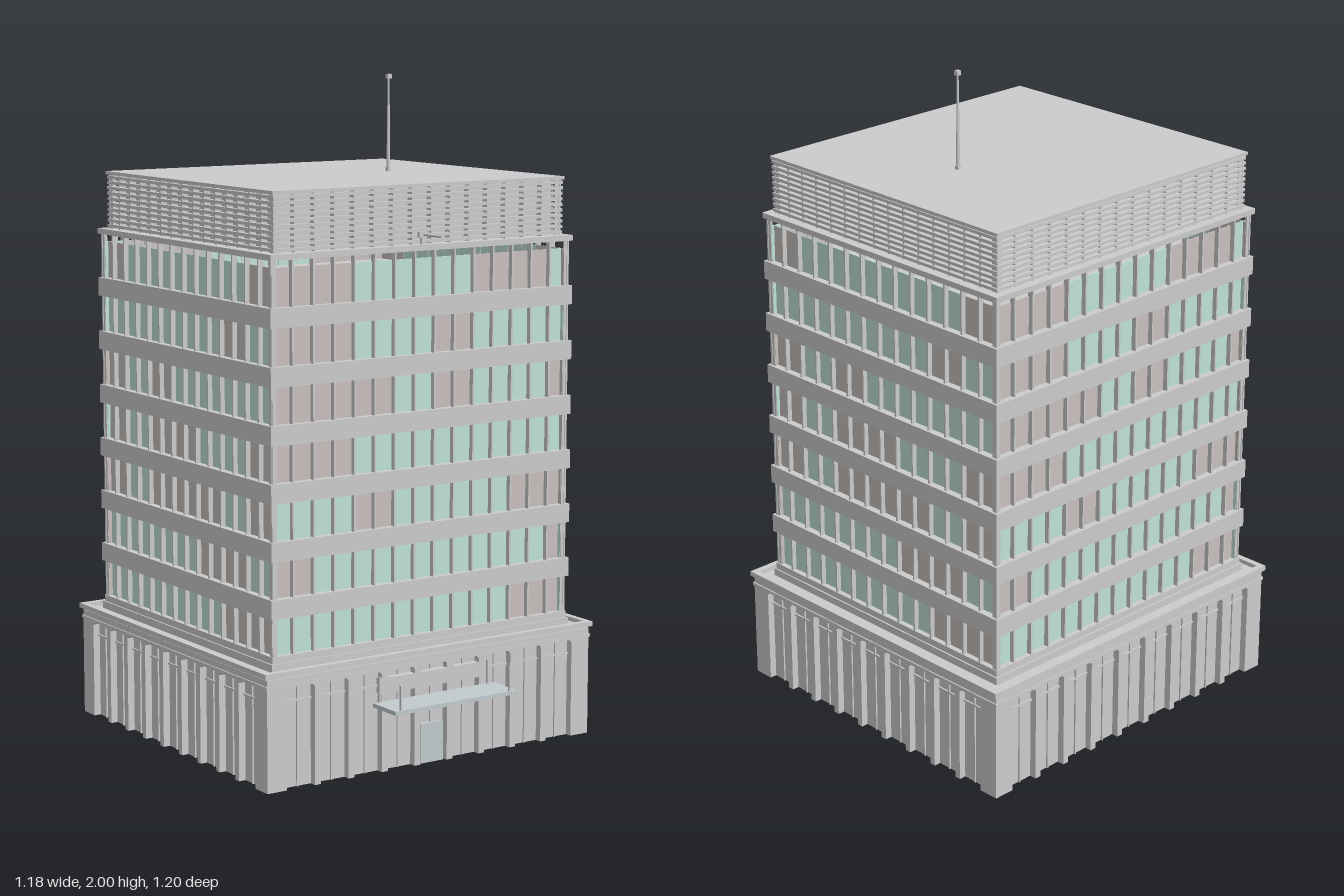
import * as THREE from 'three';
import { mergeGeometries } from 'three/addons/utils/BufferGeometryUtils.js';

const mat = (color) => new THREE.MeshStandardMaterial({ color });
const grey = mat(0xcccccc), teal = mat(0xc0e2d8), blind = mat(0xc8c0be), canopyMat = mat(0xc2cacf);

// Box geometry from centre x/z and bottom/top y
function box(x, y0, y1, z, w, d) {
  return new THREE.BoxGeometry(w, y1 - y0, d).translate(x, (y0 + y1) / 2, z);
}
function add(parent, name, geos, material = grey) {
  const list = [].concat(geos).map((g) => (g.index ? g.toNonIndexed() : g));
  const mesh = new THREE.Mesh(list.length > 1 ? mergeGeometries(list) : list[0], material);
  mesh.name = name;
  parent.add(mesh);
  return mesh;
}
// Rectangular ring from four boxes: outer half sizes hx, hz and thickness t
function ring(hx, hz, t, y0, y1) {
  const out = [];
  for (const s of [-1, 1]) {
    out.push(box(0, y0, y1, s * (hz - t / 2), 2 * hx, t));
    out.push(box(s * (hx - t / 2), y0, y1, 0, t, 2 * (hz - t)));
  }
  return out;
}
// Calls fn for each of the four sides with a group whose +z points outward
function eachSide(parent, name, hx, hz, fn) {
  for (let i = 0; i < 4; i++) {
    const side = new THREE.Group();
    side.name = name + ['Front', 'Left', 'Back', 'Right'][i];
    side.rotation.y = (i * Math.PI) / 2;
    parent.add(side);
    fn(side, i % 2 ? hz : hx, i % 2 ? hx : hz, i);
  }
}

// Glass (1) or drawn blind (0) in each window, bottom storey first
const WIDE = ['111111111111000', '001111111111110', '111100111111000', '000011111111111',
  '000000110011110', '000011110011111', '000011111100001'];
const NARROW = ['11111111110000', '11111111000011', '00110000001100', '00110000111100',
  '00110011111111', '11111111110011', '00111111111100'];
const STOREY = 0.1665, BASE = 0.38;

function addPodium(b) {
  const bays = 9, top = 0.3, c = 0.008, depth = 0.03;
  eachSide(b, 'podium', 0.58, 0.54, (side, half, dist, index) => {
    const span = 2 * (half - 0.055), pitch = span / bays, w = pitch * 0.82;
    // Wall with bays open to the ground and clipped top corners
    const shape = new THREE.Shape().moveTo(-half, 0);
    const outer = [], inner = [], bars = [];
    for (let i = 0; i < bays; i++) {
      const x = -span / 2 + (i + 0.5) * pitch, l = x - w / 2, r = x + w / 2;
      shape.lineTo(l, 0).lineTo(l, top - c).lineTo(l + c, top);
      shape.lineTo(r - c, top).lineTo(r, top - c).lineTo(r, 0);
      outer.push(box(x, 0, top, dist - 0.024, w, 0.004));
      inner.push(box(x, 0, top, dist - 0.031, w, 0.004));
      bars.push(box(x, 0, top, dist - 0.02, 0.004, 0.006));
      bars.push(box(x, 0.253, 0.259, dist - 0.02, w, 0.006));
    }
    shape.lineTo(half, 0).lineTo(half, 0.33).lineTo(-half, 0.33).closePath();
    const wall = new THREE.ExtrudeGeometry(shape, { depth, bevelEnabled: false });
    add(side, 'podiumWall', wall.translate(0, 0, dist - depth));
    add(side, 'podiumPanels', outer);
    add(side, 'podiumInnerGlass', inner, teal);
    add(side, 'podiumGlazingBars', bars);
    if (index === 0) {
      add(side, 'entranceFascia', box(0, 0.235, 0.28, dist - 0.011, 0.38, 0.022));
      add(side, 'entranceDoor', box(0, 0, 0.12, dist - 0.014, 0.08, 0.012), canopyMat);
    }
  });
  add(b, 'podiumRoof', box(0, 0.325, 0.337, 0, 1.15, 1.07));
  add(b, 'podiumCornice', [...ring(0.584, 0.543, 0.012, 0.302, 0.312),
    ...ring(0.589, 0.547, 0.02, 0.335, 0.35)]);
}

function addTower(b) {
  const hx = 0.535, hz = 0.495;
  // Spandrel bands between storeys
  add(b, 'towerBase', [box(0, 0.33, 0.36, 0, 2 * hx, 2 * hz), box(0, 0.36, BASE, 0, 1.06, 0.98)]);
  for (let i = 1; i < 7; i++) {
    const y = BASE + i * STOREY - 0.057;
    add(b, 'spandrelBand', box(0, y, y + 0.057, 0, 2 * hx, 2 * hz));
  }
  add(b, 'towerCap', box(0, 1.513, 1.53, 0, 2 * hx, 2 * hz));

  // Window panes and upright mullions
  eachSide(b, 'windows', hx, hz, (side, half, dist, index) => {
    const rows = index % 2 ? NARROW : WIDE, n = rows[0].length;
    const span = 2 * (half - 0.009), pitch = span / n;
    const glass = [], blinds = [], fins = [];
    rows.forEach((row, r) => {
      const y = BASE + r * STOREY;
      for (let i = 0; i < n; i++) {
        const x = -span / 2 + (i + 0.5) * pitch;
        (row[i] === '1' ? glass : blinds).push(
          box(x, y, y + 0.111, dist - 0.024, pitch - 0.004, 0.004));
      }
    });
    for (let i = 0; i <= n; i++) {
      const x = THREE.MathUtils.clamp(-span / 2 + i * pitch, -half + 0.012, half - 0.012);
      fins.push(box(x, BASE, 1.515, dist - 0.016, 0.006, 0.018));
    }
    add(side, 'windowGlass', glass, teal);
    add(side, 'windowBlinds', blinds, blind);
    add(side, 'mullions', fins);
  });
}

function addPlantRoom(b) {
  const hx = 0.512, hz = 0.473, y0 = 1.53, y1 = 1.695, slats = 10;
  // Louvred screen round the roof plant
  add(b, 'plantRoomCore', box(0, y0, y1, 0, 2 * hx - 0.05, 2 * hz - 0.05));
  const louvres = [];
  for (let i = 0; i < slats; i++) {
    const y = y0 + 0.004 + (i * (y1 - y0)) / slats;
    louvres.push(...ring(hx, hz, 0.014, y, y + 0.009));
  }
  add(b, 'louvreSlats', louvres);
  eachSide(b, 'louvrePosts', hx, hz, (side, half, dist) => {
    const posts = [], n = 15;
    for (let i = 0; i <= n; i++) {
      const x = (half - 0.008) * ((2 * i) / n - 1);
      posts.push(box(x, y0, y1, dist - 0.014, 0.006, 0.022));
    }
    add(side, 'screenPosts', posts);
  });
  add(b, 'roofSlab', box(0, y1, 1.705, 0, 2 * hx + 0.006, 2 * hz + 0.006));
}

export function createModel() {
  const model = new THREE.Group();
  model.name = 'officeTower';
  const building = new THREE.Group();
  building.name = 'building';
  building.position.z = -0.055;
  model.add(building);
  addPodium(building);
  addTower(building);
  addPlantRoom(building);

  // Entrance canopy with edge trim and hangers
  add(model, 'entranceCanopy', box(0, 0.2, 0.212, 0.543, 0.436, 0.114), canopyMat);
  for (const s of [-1, 1]) {
    add(model, 'canopyHanger', box(s * 0.195, 0.21, 0.285, 0.595, 0.006, 0.006));
    add(model, 'canopyWallBracket', box(s * 0.195, 0.21, 0.285, 0.487, 0.006, 0.008));
  }

  // Roof mast
  const mast = new THREE.CylinderGeometry(0.003, 0.006, 0.29, 8).translate(0.207, 1.845, -0.055);
  add(model, 'roofMast', [mast, box(0.207, 1.7, 1.716, -0.055, 0.012, 0.012),
    box(0.207, 1.986, 2, -0.055, 0.015, 0.013)]);

  // Flagpole standing out from the louvred screen
  const pole = new THREE.CylinderGeometry(0.004, 0.004, 0.094, 8).rotateX(Math.PI / 2);
  add(model, 'flagpole', [pole.translate(0, 1.558, 0.465),
    box(0, 1.55, 1.566, 0.422, 0.036, 0.008), box(0, 1.53, 1.556, 0.422, 0.02, 0.006)]);
  return model;
}
